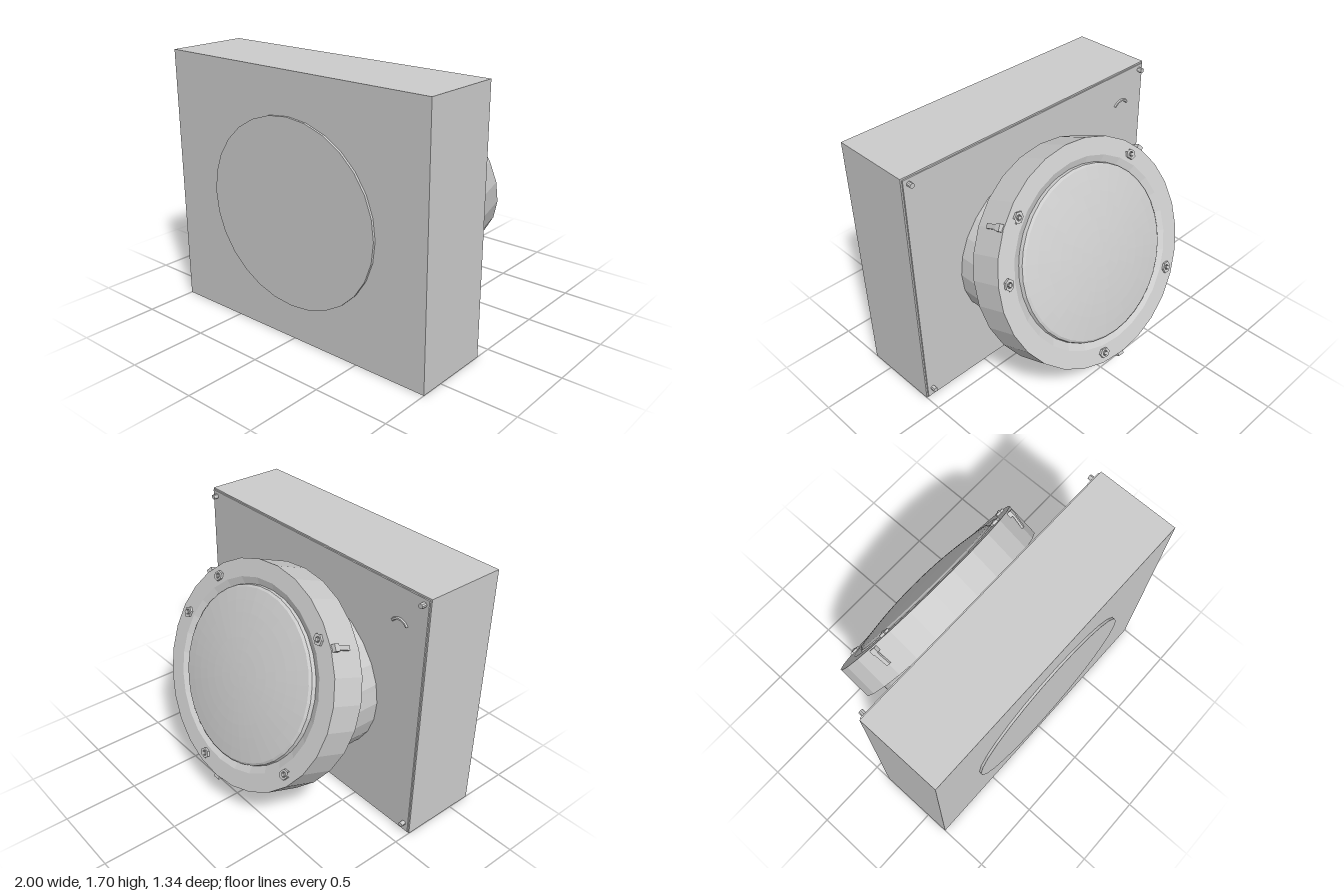
import * as THREE from 'three';

const SIDES = 28;
const TILT = Math.atan(0.528 / 1.332);
const RX = 0.766, SQUASH = 0.935;   // the window is slightly wider than tall

const grey = new THREE.MeshStandardMaterial({ color: 0xcccccc, flatShading: true });

function part(parent, name, geometry, x = 0, y = 0, z = 0) {
  const mesh = new THREE.Mesh(geometry, grey);
  mesh.name = name;
  mesh.position.set(x, y, z);
  parent.add(mesh);
  return mesh;
}

// Turned profile of [radius, height], its axis laid along z
function turned(profile, segments = SIDES) {
  const points = profile.map(([r, h]) => new THREE.Vector2(r, h));
  return new THREE.LatheGeometry(points, segments).rotateX(Math.PI / 2);
}

const rod = (r, length, sides) =>
  new THREE.CylinderGeometry(r, r, length, sides).rotateX(Math.PI / 2);

// Oval sleeve: upright at the front, cut along the tilted ring plane at the back
function sleeveGeometry() {
  const g = new THREE.CylinderGeometry(1, 1, 1, SIDES).rotateX(Math.PI / 2);
  const p = g.attributes.position;
  for (let i = 0; i < p.count; i++) {
    const front = p.getZ(i) > 0;
    const y = front ? 0.83 + 0.6 * p.getY(i) : 0.836 + 0.574 * p.getY(i);
    const z = front ? 0.675 : 0.071 - (1.503 - y) * 0.396;
    p.setXYZ(i, 0.65 * p.getX(i), y, z);
  }
  g.computeVertexNormals();
  return g;
}

// Hexagonal nut with a hollow centre and a bolt end
function addNut(parent, angle) {
  const nut = new THREE.Group();
  nut.name = 'nut';
  const hex = new THREE.Shape();
  for (let i = 0; i < 6; i++) {
    const a = i * Math.PI / 3;
    hex.lineTo(0.04 * Math.cos(a), 0.032 * Math.sin(a));
  }
  hex.holes.push(new THREE.Path().absarc(0, 0, 0.018, 0, Math.PI * 2, true));
  part(nut, 'nutBody', new THREE.ExtrudeGeometry(hex, { depth: 0.018, bevelEnabled: false, curveSegments: 6 }));
  part(nut, 'boltEnd', rod(0.012, 0.024, 8), 0, 0, 0.012);
  nut.position.set(0.695 * Math.cos(angle), 0.695 * SQUASH * Math.sin(angle), 0.23);
  nut.rotation.z = angle + Math.PI / 2;
  parent.add(nut);
}

// Lever latch on the rim of the ring
function addLatch(parent, angle) {
  const latch = new THREE.Group();
  latch.name = 'latch';
  const lever = part(latch, 'latchLever', new THREE.BoxGeometry(0.014, 0.03, 0.1), 0.012, 0, 0.14);
  lever.rotation.y = 0.12;
  part(latch, 'latchHook', new THREE.BoxGeometry(0.03, 0.046, 0.035), 0.01, 0, 0.205);
  latch.position.set(RX * Math.cos(angle), RX * SQUASH * Math.sin(angle), 0);
  latch.rotation.z = angle;
  parent.add(latch);
}

export function createModel() {
  const model = new THREE.Group();
  model.name = 'wallPorthole';

  // Wall block and its backing sheet
  part(model, 'wallBlock', new THREE.BoxGeometry(2, 1.7, 0.543), 0, 0.85, 0.3885);
  part(model, 'backPlate', new THREE.BoxGeometry(1.98, 1.68, 0.012), 0, 0.85, 0.114);

  // Corner pegs on the back
  for (const x of [-0.957, 0.952])
    for (const y of [0.068, 1.656])
      part(model, 'cornerPeg', rod(0.016, 0.04, 10), x, y, 0.096);

  // Small curved handle on the back plate
  const handle = part(model, 'curvedHandle',
    new THREE.TorusGeometry(0.07, 0.01, 6, 10, Math.PI * 0.6), -0.79, 1.42, 0.108);
  handle.rotation.z = Math.PI * 0.2;

  part(model, 'sleeve', sleeveGeometry(), -0.005, 0, 0);

  // Tilted window, local +z pointing out of the glass
  const porthole = new THREE.Group();
  porthole.name = 'window';
  porthole.position.set(-0.007, 0.837, -0.183);
  porthole.rotation.set(TILT, Math.PI, 0);
  model.add(porthole);

  const ring = part(porthole, 'clampRing', turned([
    [0, 0], [RX, 0], [RX, 0.232], [0.645, 0.232], [0.59, 0.205], [0, 0.205]]));
  ring.scale.y = SQUASH;

  // Shallow domed glass
  const dome = [[0.592, 0.2], [0.585, 0.232], [0.57, 0.244]];
  for (let i = 1; i <= 7; i++) {
    const r = 0.57 * (1 - i / 7);
    dome.push([r, 0.244 + 0.048 * (1 - (r / 0.57) ** 2)]);
  }
  const glass = part(porthole, 'domedGlass', turned(dome, 36));
  glass.scale.y = 0.95;

  for (const deg of [134, 45, -36, -102, 168]) addNut(porthole, THREE.MathUtils.degToRad(deg));
  for (const deg of [39, 141, 270]) addLatch(porthole, THREE.MathUtils.degToRad(deg));

  return model;
}
